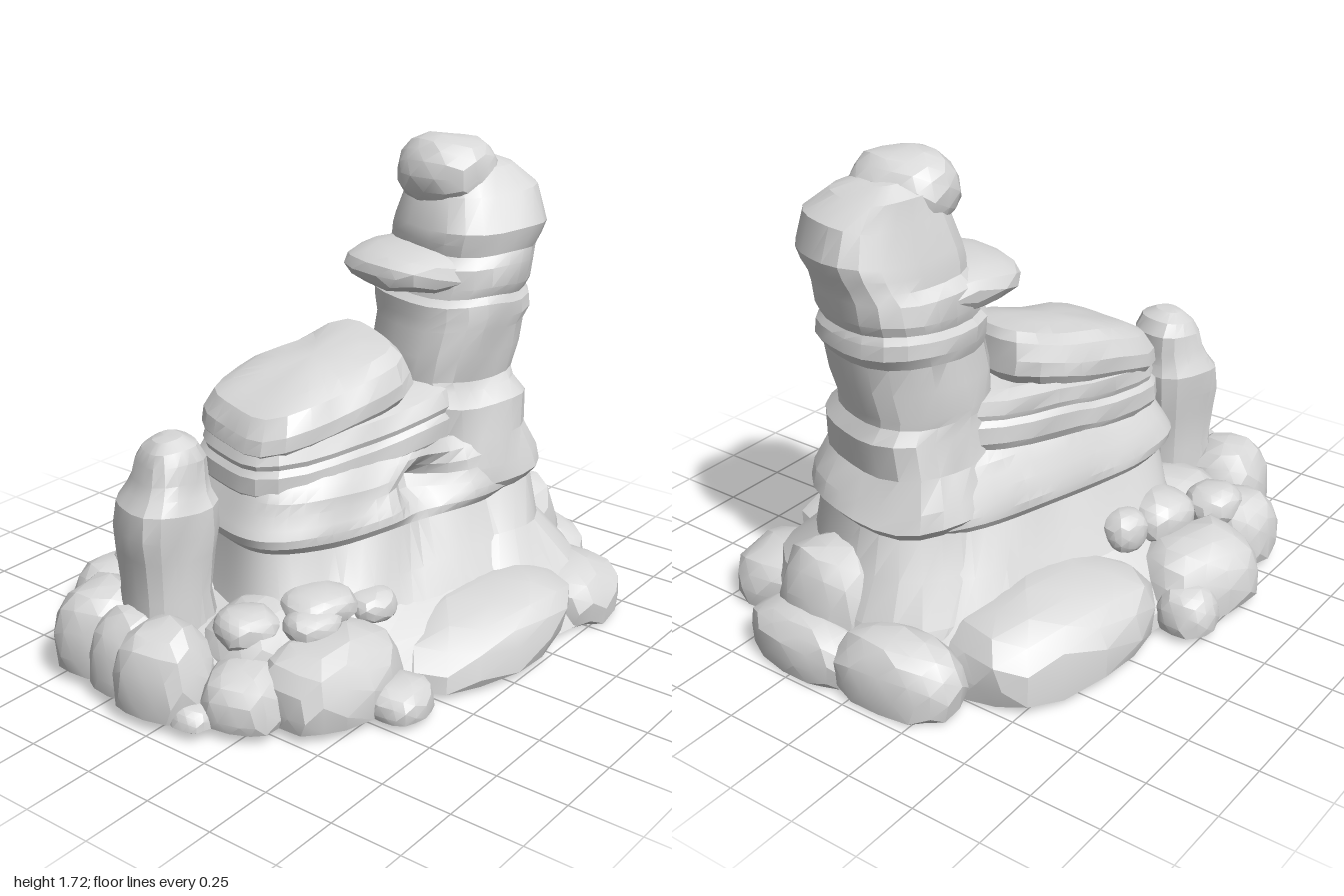
import * as THREE from 'three';
import { toCreasedNormals } from 'three/addons/utils/BufferGeometryUtils.js';

const YAW = -0.28; // the ridge runs slightly diagonally
const floorY = (x, z) => 0.033 - 0.02 * x - 0.007 * z;

// smooth repeatable unevenness
const wobble = (x, y, z) =>
  Math.sin(9 * x + 5 * z + 1) * Math.sin(8 * z - 6 * y + 2) + 0.6 * Math.sin(17 * x - 13 * y + 11 * z);

export function createModel() {
  const group = new THREE.Group();
  const stone = new THREE.MeshStandardMaterial({ color: 0xd9d9d9 });
  stone.name = 'stone grey';

  function add(name, geo) {
    const mesh = new THREE.Mesh(toCreasedNormals(geo, 0.36), stone);
    mesh.name = name;
    group.add(mesh);
  }

  // stacked rounded-box rings [y, cx, cz, halfLength, halfWidth], capped at both ends
  function strata(name, rings, { sides = 24, power = 3, tilt = 0, rough = 0.012, warp } = {}) {
    const pos = [], idx = [];
    const c = Math.cos(YAW), s = Math.sin(YAW);
    const put = (x, y, z) => {
      const p = new THREE.Vector3(x, y, z);
      if (warp) warp(p);
      p.y = Math.max(p.y, floorY(p.x, p.z));
      pos.push(p.x, p.y, p.z);
    };
    for (const [y, cx, cz, ru, rv] of rings) {
      for (let j = 0; j < sides; j++) {
        const a = (j / sides) * Math.PI * 2, ca = Math.cos(a), sa = Math.sin(a);
        const r = Math.pow(Math.abs(ca) ** power + Math.abs(sa) ** power, -1 / power);
        const u = ca * r * ru, v = sa * r * rv;
        const x = cx + u * c + v * s, z = cz - u * s + v * c;
        const w = wobble(x, y, z) * rough;
        put(x + ca * w, y + tilt * (x - cx) + w * 0.8, z + sa * w);
      }
    }
    const last = rings.length - 1;
    for (let i = 0; i < last; i++) for (let j = 0; j < sides; j++) {
      const a = i * sides + j, b = i * sides + (j + 1) % sides;
      idx.push(a, a + sides, b, b, a + sides, b + sides);
    }
    const bottom = pos.length / 3;
    put(rings[0][1], rings[0][0], rings[0][2]);
    put(rings[last][1], rings[last][0] + 0.01, rings[last][2]);
    for (let j = 0; j < sides; j++) {
      const k = (j + 1) % sides;
      idx.push(bottom, j, k, bottom + 1, last * sides + k, last * sides + j);
    }
    const geo = new THREE.BufferGeometry();
    geo.setAttribute('position', new THREE.Float32BufferAttribute(pos, 3));
    geo.setIndex(idx);
    add(name, geo.toNonIndexed());
  }

  // lumpy, slightly boxy stone with its underside cut flat at the ground
  function boulder(name, x, y, z, rx, ry, rz, yaw = 0, lean = 0) {
    const geo = new THREE.IcosahedronGeometry(1, 2);
    const p = geo.attributes.position, v = new THREE.Vector3();
    const box = t => Math.sign(t) * Math.abs(t) ** 0.84;
    for (let i = 0; i < p.count; i++) {
      v.fromBufferAttribute(p, i);
      const k = 0.98 + 0.035 * wobble(v.x * 0.4 + x * 3, v.y * 0.4, v.z * 0.4 + z * 3);
      v.set(box(v.x) * rx * k, box(v.y) * ry * k + lean * v.x, box(v.z) * rz * k);
      v.applyAxisAngle(THREE.Object3D.DEFAULT_UP, yaw);
      v.add(new THREE.Vector3(x, y, z));
      v.y = Math.max(v.y, floorY(v.x, v.z));
      p.setXYZ(i, v.x, v.y, v.z);
    }
    add(name, geo);
  }

  // ground-level filler under the boulders
  strata('footing', [
    [0, 0, 0, 0.9, 0.62], [0.09, 0, 0, 0.89, 0.61], [0.19, 0.01, 0, 0.83, 0.53], [0.27, 0.02, 0, 0.7, 0.41],
  ], { power: 2.2 });

  // main ridge, flared at the ground, with a cave pressed into its front
  strata('ridge', [
    [0.02, 0.1, 0.03, 0.7, 0.54], [0.2, 0.1, 0.03, 0.65, 0.46], [0.34, 0.09, 0.02, 0.6, 0.375],
    [0.48, 0.08, 0.02, 0.57, 0.315], [0.51, 0.08, 0.02, 0.6, 0.335], [0.54, 0.08, 0.02, 0.61, 0.335],
    [0.57, 0.08, 0.02, 0.595, 0.325], [0.61, 0.09, 0.02, 0.58, 0.31], [0.65, 0.09, 0.03, 0.565, 0.295],
    [0.69, 0.1, 0.03, 0.55, 0.275], [0.73, 0.1, 0.03, 0.5, 0.24],
  ], {
    sides: 72, power: 3.6, rough: 0.01,
    warp: p => {
      if (p.z > 0.1) p.z -= 0.14 * Math.exp(-(((p.x - 0.08) / 0.11) ** 2) - ((p.y - 0.59) / 0.08) ** 2);
    },
  });

  // tilted slabs on top of the ridge
  strata('middleSlab', [
    [0.68, 0, -0.02, 0.45, 0.255], [0.71, 0, -0.02, 0.47, 0.27], [0.77, 0, -0.02, 0.47, 0.27],
    [0.79, 0, -0.02, 0.455, 0.255], [0.81, 0, -0.02, 0.462, 0.262], [0.86, 0, -0.03, 0.44, 0.25],
    [0.88, 0, -0.03, 0.38, 0.2],
  ], { sides: 32, power: 3.6, tilt: 0.1 });
  strata('topSlab', [
    [0.82, -0.1, -0.06, 0.31, 0.22], [0.87, -0.1, -0.06, 0.345, 0.25], [0.92, -0.1, -0.06, 0.335, 0.25],
    [0.98, -0.09, -0.06, 0.31, 0.22], [1.01, -0.08, -0.06, 0.27, 0.17], [1.025, -0.07, -0.06, 0.16, 0.09],
  ], { sides: 28, power: 4, tilt: 0.2 });

  // tall banded tower
  strata('tower', [
    [0.02, 0.5, 0.22, 0.36, 0.5], [0.22, 0.5, 0.19, 0.31, 0.44], [0.36, 0.49, 0.155, 0.255, 0.345],
    [0.5, 0.48, 0.14, 0.235, 0.29], [0.54, 0.49, 0.14, 0.26, 0.32], [0.6, 0.48, 0.14, 0.255, 0.31],
    [0.7, 0.46, 0.14, 0.24, 0.275], [0.82, 0.46, 0.14, 0.255, 0.265], [0.87, 0.45, 0.12, 0.235, 0.24],
    [0.9, 0.45, 0.11, 0.24, 0.235], [1, 0.46, 0.125, 0.25, 0.245], [1.09, 0.475, 0.135, 0.245, 0.25],
    [1.13, 0.49, 0.135, 0.257, 0.262], [1.18, 0.49, 0.135, 0.255, 0.262], [1.205, 0.495, 0.135, 0.238, 0.247],
    [1.24, 0.505, 0.14, 0.24, 0.26], [1.31, 0.51, 0.145, 0.24, 0.258], [1.35, 0.53, 0.155, 0.228, 0.238],
    [1.39, 0.535, 0.165, 0.24, 0.24], [1.43, 0.54, 0.175, 0.243, 0.24], [1.54, 0.55, 0.16, 0.205, 0.195],
    [1.62, 0.555, 0.13, 0.15, 0.15], [1.655, 0.56, 0.12, 0.07, 0.08],
  ], { power: 2.6 });
  boulder('towerKnob', 0.465, 1.6, 0.115, 0.155, 0.13, 0.18);
  boulder('towerLedge', 0.375, 1.285, 0.07, 0.255, 0.085, 0.24, YAW);

  // small pillar on the right side
  strata('sidePillar', [
    [0.04, -0.67, -0.2, 0.16, 0.17], [0.36, -0.67, -0.2, 0.14, 0.145], [0.5, -0.67, -0.2, 0.15, 0.155],
    [0.58, -0.67, -0.2, 0.162, 0.165], [0.67, -0.665, -0.2, 0.16, 0.165], [0.71, -0.655, -0.2, 0.135, 0.14],
    [0.75, -0.645, -0.2, 0.122, 0.122], [0.81, -0.645, -0.2, 0.11, 0.11], [0.85, -0.655, -0.2, 0.08, 0.085],
    [0.875, -0.66, -0.2, 0.04, 0.04],
  ], { sides: 20, power: 3 });

  // ground boulders: [x, z, top, rx, rz, yaw, lean]
  [
    [0.09, 0.5, 0.26, 0.4, 0.27, -0.25, 0.06], [0.58, 0.58, 0.23, 0.19, 0.22, 0.2],
    [-0.5, 0.36, 0.3, 0.27, 0.19, -0.1], [-0.4, 0.56, 0.15, 0.12, 0.11, 0],
    [-0.74, 0.2, 0.24, 0.15, 0.15, 0.3], [-0.85, -0.05, 0.35, 0.15, 0.17, 0.2],
    [-0.77, -0.4, 0.36, 0.17, 0.17, 0.3], [-0.54, -0.58, 0.3, 0.15, 0.15, 0],
    [-0.2, -0.61, 0.3, 0.25, 0.19, -0.35], [-0.03, -0.68, 0.19, 0.11, 0.11, 0],
    [0.36, -0.37, 0.31, 0.43, 0.28, -0.2], [0.85, -0.12, 0.26, 0.14, 0.24, 0.1],
    [0.88, 0.26, 0.22, 0.12, 0.25, -0.1], [0.74, 0.24, 0.43, 0.16, 0.21, 0],
    [-0.55, 0.1, 0.35, 0.22, 0.2, 0], [-0.45, -0.32, 0.34, 0.24, 0.22, 0],
    [-0.83, -0.22, 0.33, 0.13, 0.15, 0], [-0.88, 0.1, 0.12, 0.08, 0.08, 0],
  ].forEach(([x, z, top, rx, rz, yaw, lean], i) => {
    const y = 0.03 + (top - 0.03) * 0.25;
    boulder(`groundBoulder${i + 1}`, x, y, z, rx, top - y, rz, yaw, lean);
  });

  // small stones resting on the boulders: [x, y, z, radius, height]
  [
    [-0.42, 0.32, 0.24, 0.13, 0.065], [-0.25, 0.28, 0.33, 0.09, 0.06], [-0.5, 0.29, 0.28, 0.1, 0.06],
    [-0.45, 0.26, -0.53, 0.11, 0.08], [-0.22, 0.29, -0.44, 0.13, 0.1], [-0.03, 0.31, -0.41, 0.085, 0.08],
    [-0.64, 0.29, 0.12, 0.11, 0.07],
  ].forEach(([x, y, z, r, h], i) => boulder(`smallStone${i + 1}`, x, y, z, r, h, r * 0.9, -0.3));

  return group;
}
